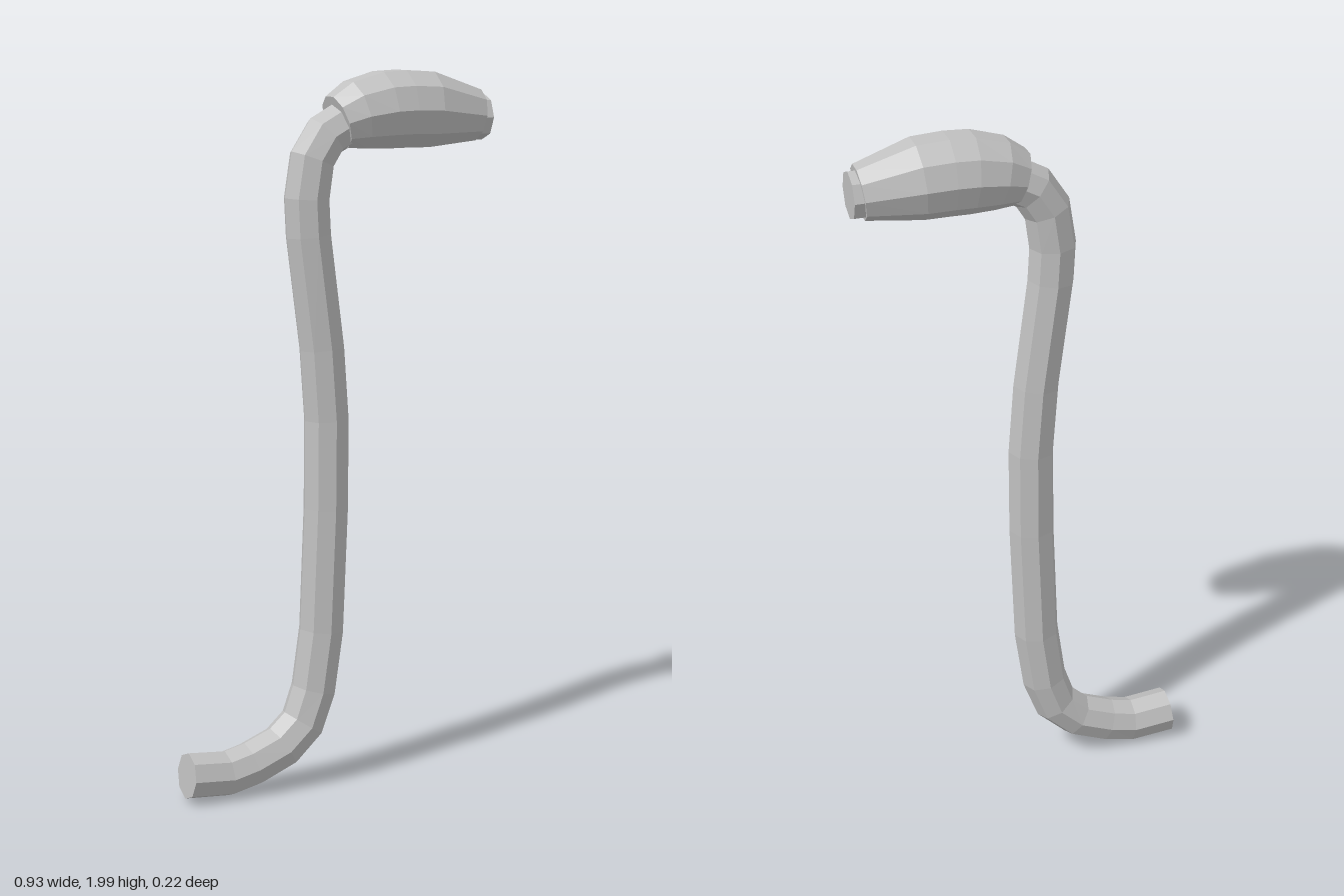
import * as THREE from 'three';

// Closed tube through [x, y, radius] stations in the z = 0 plane, rings square to the path
function loft(stations, sides, turn) {
  const pts = stations.map(([x, y]) => new THREE.Vector2(x, y));
  const last = pts.length - 1;
  const direction = (i) => pts[i + 1].clone().sub(pts[i]).normalize();
  const positions = [];
  const index = [];
  stations.forEach(([x, y, r], i) => {
    const t = direction(Math.min(i, last - 1)).add(direction(Math.max(i - 1, 0))).normalize();
    for (let j = 0; j < sides; j++) {
      const a = ((j + turn) / sides) * Math.PI * 2;
      const n = r * Math.cos(a);
      positions.push(x - t.y * n, y + t.x * n, r * Math.sin(a));
    }
  });
  for (let i = 0; i < last; i++) {
    for (let j = 0; j < sides; j++) {
      const k = (j + 1) % sides;
      const a = i * sides, b = a + sides;
      index.push(a + j, a + k, b + k, a + j, b + k, b + j);
    }
  }
  // End caps
  const end = last * sides;
  for (let j = 1; j < sides - 1; j++) {
    index.push(0, j + 1, j, end, end + j, end + j + 1);
  }
  const geometry = new THREE.BufferGeometry();
  geometry.setAttribute('position', new THREE.Float32BufferAttribute(positions, 3));
  geometry.setIndex(index);
  const flat = geometry.toNonIndexed();
  flat.computeVertexNormals();
  return flat;
}

export function createModel() {
  const group = new THREE.Group();
  group.name = 'crankLever';
  const metal = new THREE.MeshStandardMaterial({ color: 0xc0c0c0 });
  metal.name = 'greyMetal';
  metal.flatShading = true;

  // Bent octagonal rod, running on through the grip
  const rodPath = [
    [-0.459, 0.081], [-0.34, 0.07], [-0.265, 0.087], [-0.17, 0.125], [-0.105, 0.185],
    [-0.07, 0.28], [-0.045, 0.45], [-0.03, 0.8], [-0.028, 1.05], [-0.042, 1.25],
    [-0.082, 1.56], [-0.087, 1.66], [-0.071, 1.765], [-0.03, 1.828], [0.03, 1.86],
    [0.2, 1.875], [0.4, 1.869], [0.459, 1.868],
  ];
  const rod = new THREE.Mesh(loft(rodPath.map(([x, y]) => [x, y, 0.065]), 8, 0), metal);
  rod.name = 'rod';

  // Ten-sided swollen grip
  const gripStations = [
    [0.005, 1.863, 0.076], [0.06, 1.881, 0.097], [0.14, 1.893, 0.109],
    [0.2, 1.895, 0.11], [0.28, 1.892, 0.108], [0.433, 1.873, 0.074],
  ];
  const grip = new THREE.Mesh(loft(gripStations, 10, 0.5), metal);
  grip.name = 'grip';

  group.add(rod, grip);
  return group;
}
